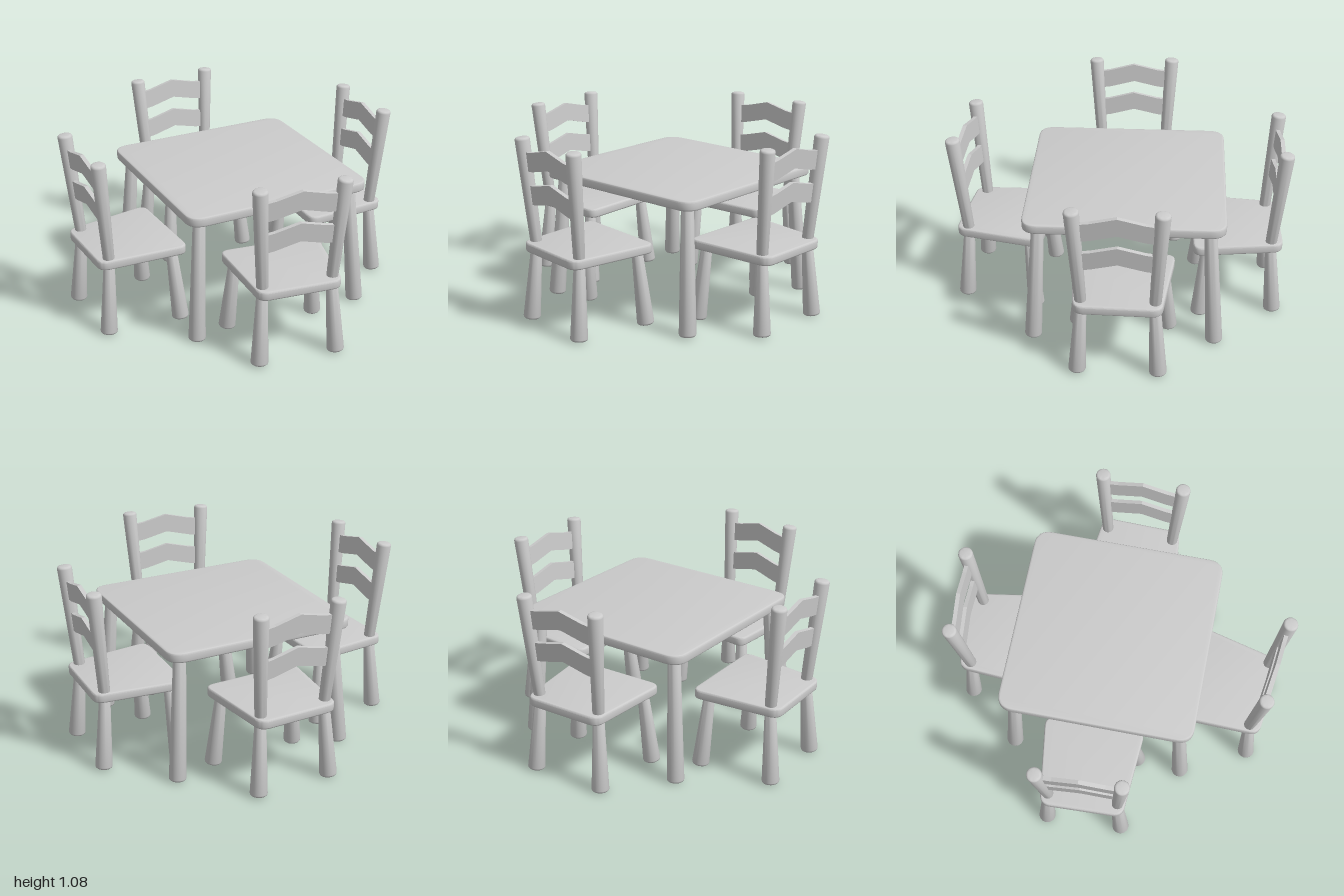
import * as THREE from 'three';
import { toCreasedNormals } from 'three/addons/utils/BufferGeometryUtils.js';

const material = new THREE.MeshStandardMaterial({ color: 0xcccccc });

function addMesh(parent, name, geometry) {
  const mesh = new THREE.Mesh(geometry, material);
  mesh.name = name;
  parent.add(mesh);
  return mesh;
}

// Tapered round rod with softened ends, running from point a to point b
function addRod(parent, name, a, b, ra, rb) {
  const from = new THREE.Vector3(...a), to = new THREE.Vector3(...b);
  const length = from.distanceTo(to), c = 0.014;
  const points = [[0, 0], [ra - c, 0]];
  for (const t of [30, 60, 90]) {
    const s = THREE.MathUtils.degToRad(t);
    points.push([ra - c + c * Math.sin(s), c - c * Math.cos(s)]);
  }
  for (const t of [90, 60, 30, 0]) {
    const s = THREE.MathUtils.degToRad(t);
    points.push([rb - c + c * Math.sin(s), length - c + c * Math.cos(s)]);
  }
  points.push([0, length]);
  const lathe = new THREE.LatheGeometry(points.map(p => new THREE.Vector2(...p)), 24);
  const mesh = addMesh(parent, name, toCreasedNormals(lathe, 0.7));
  mesh.position.copy(from);
  mesh.quaternion.setFromUnitVectors(new THREE.Vector3(0, 1, 0), to.sub(from).normalize());
}

// Flat slab with rounded corners; the top face lies at y = 0
function slabGeometry(backHalf, frontHalf, zBack, zFront, radius, thickness) {
  const corners = [[-backHalf, zBack], [backHalf, zBack], [frontHalf, zFront], [-frontHalf, zFront]]
    .map(p => new THREE.Vector2(...p));
  const shape = new THREE.Shape();
  corners.forEach((p, i) => {
    const prev = corners[(i + 3) % 4], next = corners[(i + 1) % 4];
    const start = p.clone().add(prev.clone().sub(p).setLength(radius));
    const end = p.clone().add(next.clone().sub(p).setLength(radius));
    if (i === 0) shape.moveTo(start.x, start.y);
    else shape.lineTo(start.x, start.y);
    shape.quadraticCurveTo(p.x, p.y, end.x, end.y);
  });
  shape.closePath();
  const bevel = 0.01;
  const geometry = new THREE.ExtrudeGeometry(shape, {
    depth: thickness - 2 * bevel, bevelThickness: bevel, bevelSize: bevel,
    bevelOffset: -bevel, bevelSegments: 3, curveSegments: 8,
  });
  geometry.translate(0, 0, bevel).rotateX(Math.PI / 2);
  return toCreasedNormals(geometry, 0.7);
}

// Back slat with a gentle peak in the middle
function slatGeometry(height) {
  const crest = [[-0.225, 0], [-0.15, 0.01], [0, 0.047], [0.15, 0.01], [0.225, 0]];
  const outline = [
    ...crest,
    ...crest.slice().reverse().map(([x, y]) => [x, y + height]),
  ].map(p => new THREE.Vector2(...p));
  const depth = 0.024;
  return new THREE.ExtrudeGeometry(new THREE.Shape(outline), { depth, bevelEnabled: false })
    .translate(0, 0, -depth / 2);
}

// Chair facing +z, with its origin on the floor below the post tops
function createChair() {
  const chair = new THREE.Group();
  const seat = addMesh(chair, 'seat', slabGeometry(0.245, 0.303, -0.02, 0.51, 0.06, 0.055));
  seat.position.y = 0.474;
  seat.rotation.x = -0.02;
  for (const s of [-1, 1]) {
    addRod(chair, 'backPost', [s * 0.205, 0.44, 0.052], [s * 0.242, 1.08, 0], 0.033, 0.043);
    addRod(chair, 'backLeg', [s * 0.23, 0.004, 0.02], [s * 0.205, 0.45, 0.052], 0.05, 0.032);
    addRod(chair, 'frontLeg', [s * 0.27, 0.004, 0.465], [s * 0.235, 0.45, 0.43], 0.05, 0.032);
  }
  for (const [name, y, z] of [['lowerSlat', 0.69, 0.031], ['upperSlat', 0.885, 0.015]]) {
    const slat = addMesh(chair, name, slatGeometry(0.112));
    slat.position.set(0, y, z);
    slat.rotation.x = -0.08;
  }
  return chair;
}

function createTable() {
  const table = new THREE.Group();
  table.name = 'table';
  const top = addMesh(table, 'tableTop', slabGeometry(0.575, 0.575, -0.575, 0.575, 0.095, 0.056));
  top.position.y = 0.793;
  for (const sx of [-1, 1]) for (const sz of [-1, 1])
    addRod(table, 'tableLeg', [sx * 0.53, 0.004, sz * 0.53], [sx * 0.485, 0.75, sz * 0.485], 0.05, 0.036);
  table.position.set(0.055, 0, -0.06);
  table.rotation.y = -0.042;
  return table;
}

export function createModel() {
  const model = new THREE.Group();
  model.name = 'diningSet';
  model.add(createTable());
  // Chairs around the table: position x, z and heading
  const places = [
    ['backChair', 0.066, -0.955, 0],
    ['frontChair', -0.09, 0.905, 2.965],
    ['rightChair', -0.928, -0.098, Math.PI / 2 - 0.005],
    ['leftChair', 0.915, -0.005, -1.637],
  ];
  for (const [name, x, z, heading] of places) {
    const chair = createChair();
    chair.name = name;
    chair.position.set(x, 0, z);
    chair.rotation.y = heading;
    model.add(chair);
  }
  return model;
}
